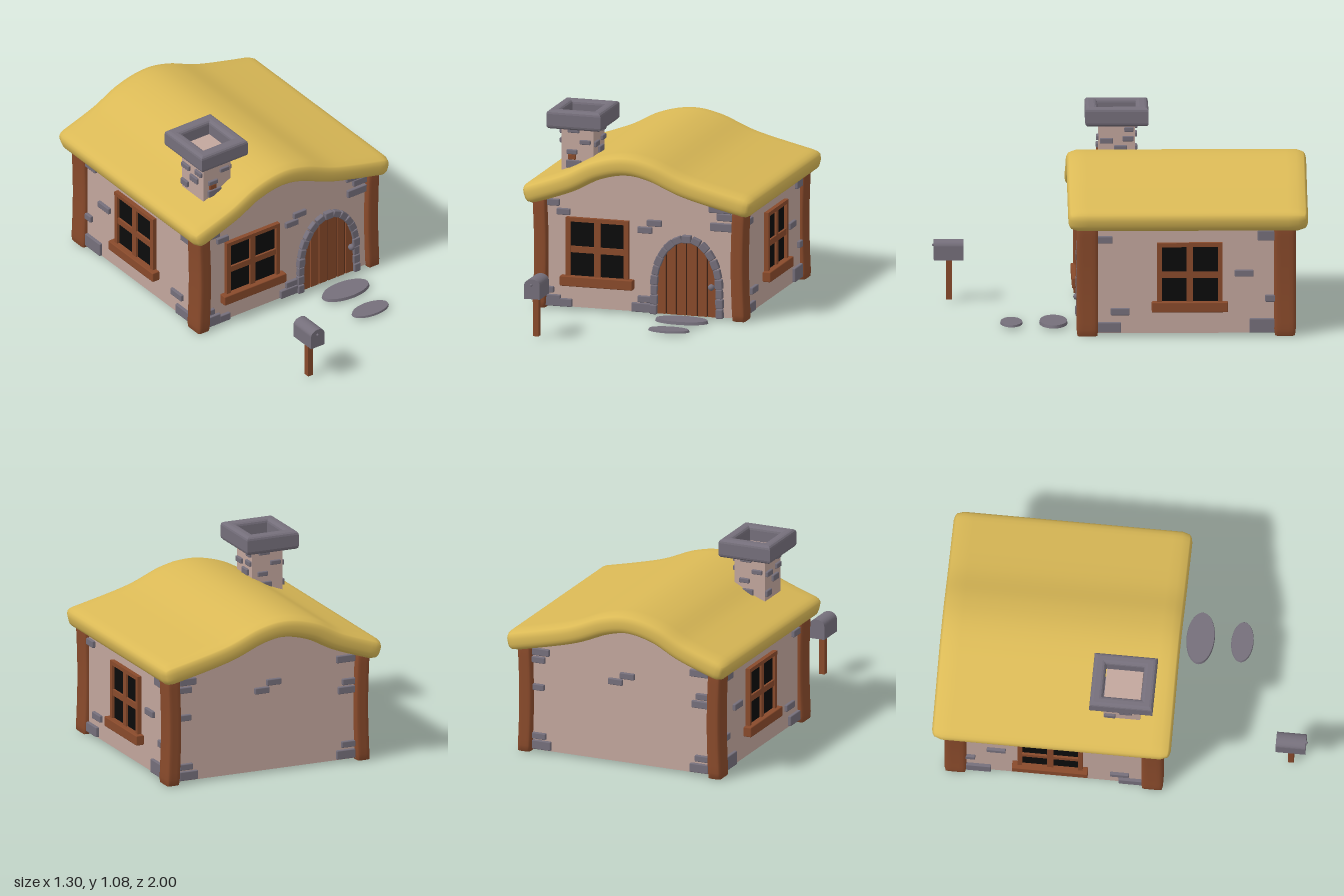
import * as THREE from 'three';
import { mergeVertices } from 'three/addons/utils/BufferGeometryUtils.js';
import { RoundedBoxGeometry } from 'three/addons/geometries/RoundedBoxGeometry.js';

const material = (name, color) => {
  const m = new THREE.MeshStandardMaterial({ color });
  m.name = name;
  return m;
};

export function createModel() {
  const plaster = material('plaster', 0xc2a69d);
  const thatch = material('thatch', 0xdab956);
  const wood = material('wood', 0x894a2b);
  const darkWood = material('dark wood', 0x3a1f12);
  const stone = material('stone', 0x756f7b);
  const glass = material('dark glass', 0x0b0b0b);

  const model = new THREE.Group();
  model.name = 'cottage';

  const group = (name, parent = model) => {
    const g = new THREE.Group();
    g.name = name;
    parent.add(g);
    return g;
  };
  const add = (parent, name, geometry, mat, x = 0, y = 0, z = 0) => {
    const mesh = new THREE.Mesh(geometry, mat);
    mesh.name = name;
    mesh.position.set(x, y, z);
    parent.add(mesh);
    return mesh;
  };
  const box = (parent, name, mat, x, y, z, w, h, d) =>
    add(parent, name, new THREE.BoxGeometry(w, h, d), mat, x, y, z);
  const block = (parent, name, mat, x, y, z, w, h, d) =>
    add(parent, name, new RoundedBoxGeometry(w, h, d, 1, 0.005), mat, x, y, z);

  // Rounded, subdivided slab whose vertices are then moved by a bending rule
  const bentSlab = (size, segments, r, bend) => {
    const g = new THREE.BoxGeometry(...size, ...segments);
    const limit = new THREE.Vector3(...size).multiplyScalar(0.5).subScalar(r);
    const p = new THREE.Vector3(), inner = new THREE.Vector3();
    for (let i = 0; i < g.attributes.position.count; i++) {
      p.fromBufferAttribute(g.attributes.position, i);
      inner.copy(p).clamp(limit.clone().negate(), limit);
      p.sub(inner).setLength(r).add(inner);
      bend(p);
      g.attributes.position.setXYZ(i, p.x, p.y, p.z);
    }
    g.deleteAttribute('normal');
    g.deleteAttribute('uv');
    const merged = mergeVertices(g, 1e-5);
    merged.computeVertexNormals();
    return merged;
  };

  // Thatched roof bent along an off-centre ridge curve
  const ridge = new THREE.SplineCurve([
    [-0.645, 0.618], [-0.4, 0.705], [-0.24, 0.785], [-0.08, 0.82],
    [0.07, 0.797], [0.28, 0.715], [0.643, 0.626],
  ].map(([x, y]) => new THREE.Vector2(x, y)));
  add(model, 'roof', bentSlab([1.3, 0.116, 1.285], [52, 8, 24], 0.048, (p) => {
    const u = THREE.MathUtils.clamp((p.x + 0.65) / 1.3, 0, 1);
    const c = ridge.getPointAt(u), t = ridge.getTangentAt(u), h = p.y;
    p.x = c.x - t.y * h;
    p.y = c.y + t.x * h;
  }), thatch, 0, 0, -0.3575);

  // Walls: gable outline following the roof
  const outline = ridge.getSpacedPoints(40).filter((p) => Math.abs(p.x) < 0.57);
  const gable = new THREE.Shape([
    new THREE.Vector2(0.57, 0.015), new THREE.Vector2(0.57, 0.63),
    ...outline.reverse(),
    new THREE.Vector2(-0.57, 0.63), new THREE.Vector2(-0.57, 0.015),
  ]);
  add(model, 'walls', new THREE.ExtrudeGeometry(gable, { depth: 1.11, bevelEnabled: false }),
    plaster, 0, 0, -0.9);

  // Corner posts, bowed slightly inward
  for (const s of [-1, 1]) {
    for (const z of [0.183, -0.876]) {
      add(model, 'cornerPost', bentSlab([0.078, 0.62, 0.116], [6, 16, 6], 0.015, (p) => {
        p.x -= s * 0.01 * Math.cos(p.y * 5);
      }), wood, s * 0.563, 0.31, z);
    }
  }

  // Windows, built facing +z and turned onto each wall
  const addWindow = (x, z, turn) => {
    const w = group('window');
    w.position.set(x, 0, z);
    w.rotation.y = turn;
    box(w, 'windowPane', glass, 0, 0.345, 0.004, 0.33, 0.31, 0.008);
    for (const s of [-1, 1]) box(w, 'windowSide', wood, s * 0.163, 0.35, 0.012, 0.025, 0.32, 0.024);
    box(w, 'windowTop', wood, 0, 0.5, 0.012, 0.35, 0.022, 0.026);
    box(w, 'windowUpright', wood, 0, 0.345, 0.01, 0.035, 0.31, 0.02);
    box(w, 'windowCrossbar', wood, 0, 0.336, 0.01, 0.32, 0.034, 0.02);
    block(w, 'windowSill', wood, 0, 0.163, 0.022, 0.408, 0.055, 0.046);
  };
  addWindow(-0.235, 0.21, 0);
  addWindow(0.57, -0.366, Math.PI / 2);
  addWindow(-0.57, -0.366, -Math.PI / 2);

  // Door: dark backing, planks cut to the arch, stone surround and knob
  const door = group('door');
  door.position.set(0.267, 0, 0.21);
  const archTop = (x) => 0.17 + 0.247 * Math.sqrt(Math.max(0, 1 - (x / 0.17) ** 2));
  const addPlank = (name, mat, x0, x1, depth) => {
    const pts = [new THREE.Vector2(x0, 0.015), new THREE.Vector2(x1, 0.015)];
    for (let i = 0; i <= 16; i++) {
      const x = x1 + (x0 - x1) * i / 16;
      pts.push(new THREE.Vector2(x, archTop(x)));
    }
    add(door, name, new THREE.ExtrudeGeometry(new THREE.Shape(pts), { depth, bevelEnabled: false }), mat);
  };
  addPlank('doorBacking', darkWood, -0.168, 0.168, 0.004);
  const seams = [-0.17, -0.116, -0.06, -0.002, 0.058, 0.115, 0.17];
  for (let i = 0; i < 6; i++) addPlank('doorPlank', wood, seams[i] + 0.004, seams[i + 1] - 0.004, 0.011);
  add(door, 'doorKnob', new THREE.SphereGeometry(0.018, 16, 12), stone, 0.143, 0.183, 0.028);

  const arch = new THREE.Path();
  arch.moveTo(-0.186, 0.01);
  arch.lineTo(-0.182, 0.17);
  arch.absellipse(0, 0.17, 0.182, 0.265, Math.PI, 0, true);
  arch.lineTo(0.186, 0.01);
  const count = 19;
  for (let i = 0; i < count; i++) {
    const u = (i + 0.5) / count;
    const p = arch.getPointAt(u), t = arch.getTangentAt(u);
    const s = block(door, 'archStone', stone, p.x, p.y, 0.006,
      arch.getLength() / count - 0.003, 0.038 + 0.004 * (i % 2), 0.04 + 0.006 * (i % 3 === 0));
    s.rotation.z = Math.atan2(t.y, t.x);
  }

  // Loose stones set into the walls: [centre along wall, y, width, height]
  const stones = group('wallStones');
  const frontStones = [
    [-0.485, 0.585, 0.07, 0.037], [-0.428, 0.537, 0.075, 0.035], [0.03, 0.467, 0.083, 0.035],
    [0.083, 0.508, 0.083, 0.035], [0.455, 0.612, 0.13, 0.045], [0.48, 0.568, 0.09, 0.04],
    [0.46, 0.512, 0.125, 0.045], [-0.505, 0.104, 0.045, 0.034], [-0.487, 0.046, 0.085, 0.062],
    [-0.415, 0.037, 0.07, 0.044], [0.012, 0.04, 0.115, 0.05], [0.027, 0.087, 0.075, 0.036],
  ];
  const backStones = [
    [0.03, 0.465, 0.085, 0.035], [-0.04, 0.505, 0.085, 0.035], [0.47, 0.57, 0.1, 0.04],
    [0.485, 0.525, 0.08, 0.035], [0.485, 0.37, 0.07, 0.035], [0.48, 0.095, 0.08, 0.035],
    [0.465, 0.045, 0.11, 0.05], [-0.465, 0.58, 0.11, 0.04], [-0.485, 0.45, 0.08, 0.035],
    [-0.47, 0.405, 0.1, 0.04], [-0.48, 0.1, 0.08, 0.035], [-0.465, 0.045, 0.11, 0.05],
  ];
  const sideStones = [
    [0.09, 0.527, 0.085, 0.038], [-0.78, 0.548, 0.1, 0.055], [-0.657, 0.342, 0.102, 0.036],
    [-0.8, 0.205, 0.06, 0.038], [-0.755, 0.056, 0.14, 0.076], [0.007, 0.134, 0.102, 0.038],
    [0.067, 0.048, 0.13, 0.055],
  ];
  for (const [x, y, w, h] of frontStones) block(stones, 'frontStone', stone, x, y, 0.21, w, h, 0.034);
  for (const [x, y, w, h] of backStones) block(stones, 'backStone', stone, x, y, -0.9, w, h, 0.034);
  for (const s of [-1, 1]) {
    for (const [z, y, w, h] of sideStones) block(stones, 'sideStone', stone, s * 0.57, y, z, 0.034, h, w);
  }

  // Chimney: stack, hollow rounded cap and scattered bricks
  const chimney = group('chimney');
  chimney.position.set(-0.385, 0, 0.01);
  box(chimney, 'chimneyStack', plaster, 0, 0.82, 0, 0.18, 0.36, 0.196);
  const rect = (path, w, d) => {
    path.moveTo(-w, -d).lineTo(w, -d).lineTo(w, d).lineTo(-w, d).closePath();
    return path;
  };
  const capShape = rect(new THREE.Shape(), 0.132, 0.15);
  capShape.holes.push(rect(new THREE.Path(), 0.112, 0.122));
  const cap = add(chimney, 'chimneyCap', new THREE.ExtrudeGeometry(capShape, {
    depth: 0.063, bevelThickness: 0.02, bevelSize: 0.02, bevelSegments: 3,
  }), stone, 0, 0.995, 0);
  cap.rotation.x = -Math.PI / 2;
  const bricks = [
    [-0.02, 0.963, 0.065, 0.03], [0.045, 0.899, 0.06, 0.025],
    [-0.03, 0.843, 0.06, 0.026], [-0.02, 0.777, 0.085, 0.042],
  ];
  for (const s of [-1, 1]) {
    for (const [x, y, w, h] of bricks) block(chimney, 'chimneyBrick', stone, s * x, y, s * 0.098, w, h, 0.026);
    for (const [z, y, w, h] of [[0.055, 0.888, 0.07, 0.03], [-0.06, 0.9, 0.06, 0.028],
      [-0.02, 0.845, 0.07, 0.036], [0.065, 0.78, 0.06, 0.036], [-0.065, 0.95, 0.05, 0.026]]) {
      block(chimney, 'chimneyBrick', stone, s * 0.09, y, s * z, 0.028, h, w);
    }
  }
  block(chimney, 'woodenBrick', wood, -0.03, 0.815, 0.098, 0.045, 0.03, 0.02);

  // Stepping stones in front of the door
  for (const [z, rx, rz, h] of [[0.36, 0.148, 0.076, 0.016], [0.585, 0.115, 0.06, 0.011]]) {
    const s = add(model, 'steppingStone', new THREE.CylinderGeometry(0.96, 1, h, 40), stone, 0.283, 0.012 + h / 2, z);
    s.scale.set(rx, 1, rz);
  }

  // Mailbox on a post
  const mailbox = group('mailbox');
  mailbox.position.set(-0.358, 0, 0);
  box(mailbox, 'mailboxPost', wood, 0, 0.125, 0.909, 0.032, 0.226, 0.032);
  const profile = new THREE.Shape();
  profile.moveTo(-0.044, 0.23);
  profile.lineTo(0.044, 0.23);
  profile.lineTo(0.044, 0.305);
  profile.absellipse(0, 0.305, 0.044, 0.034, 0, Math.PI, false);
  add(mailbox, 'mailboxBody', new THREE.ExtrudeGeometry(profile, { depth: 0.16, bevelEnabled: false }),
    stone, 0, 0, 0.83);
  add(mailbox, 'mailboxKnob', new THREE.SphereGeometry(0.007, 12, 8), stone, -0.003, 0.308, 0.993);

  return model;
}
